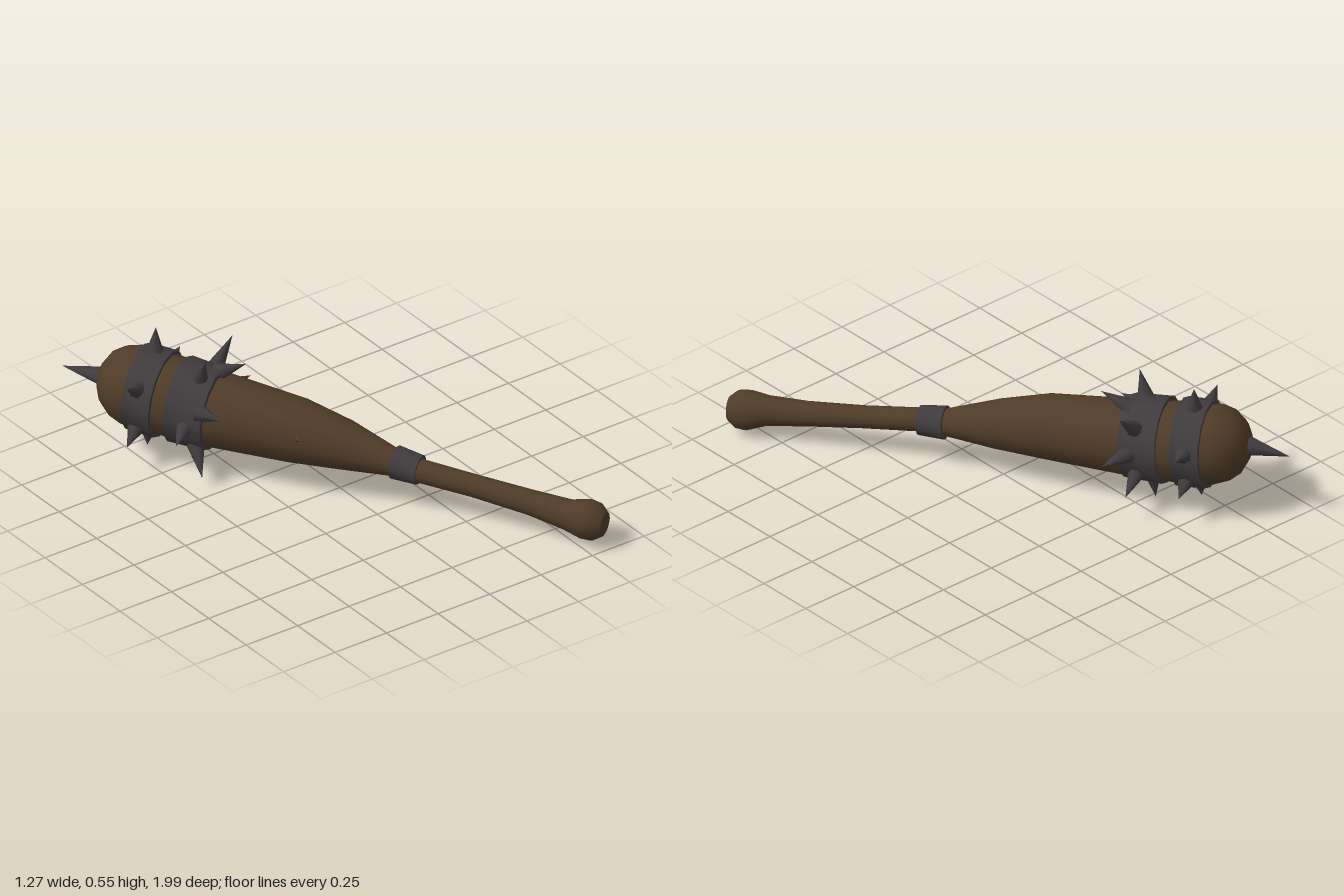
import * as THREE from 'three';
import { toCreasedNormals } from 'three/addons/utils/BufferGeometryUtils.js';

const V = (x, y, z) => new THREE.Vector3(x, y, z);
// Frame of the club: axis runs from knob to head, side and up span its cross-section
const axis = V(-0.51, 0.06, -0.86).normalize();
const side = axis.clone().cross(V(0, 1, 0)).normalize();
const up = side.clone().cross(axis);

// Skin round cross-sections given as [x, y, z, radius], from knob to head
function loft(stations, sides, crease) {
  const pos = [], index = [];
  stations.forEach(([x, y, z, r], i) => {
    for (let j = 0; j < sides; j++) {
      const t = (j / sides) * Math.PI * 2;
      const v = V(x, y, z).addScaledVector(side, r * Math.cos(t)).addScaledVector(up, r * Math.sin(t));
      pos.push(v.x, v.y, v.z);
      if (i === 0) continue;
      const k = (j + 1) % sides, lo = (i - 1) * sides, hi = i * sides;
      index.push(lo + j, hi + j, lo + k, lo + k, hi + j, hi + k);
    }
  });
  const g = new THREE.BufferGeometry();
  g.setAttribute('position', new THREE.Float32BufferAttribute(pos, 3));
  g.setIndex(index);
  return toCreasedNormals(g, crease);
}

export function createModel() {
  const group = new THREE.Group();
  const wood = new THREE.MeshStandardMaterial({ color: 0x503c28 });
  const iron = new THREE.MeshStandardMaterial({ color: 0x403c3e });
  const add = (name, geometry, material) => {
    const mesh = new THREE.Mesh(geometry, material);
    mesh.name = name;
    group.add(mesh);
    return mesh;
  };

  // Wooden club: knob, handle, swelling body and rounded head
  add('woodenClub', loft([
    [0.585, 0.1, 0.965, 0.001], [0.585, 0.1, 0.965, 0.05], [0.567, 0.103, 0.935, 0.077],
    [0.545, 0.106, 0.895, 0.081], [0.5, 0.113, 0.835, 0.062], [0.42, 0.13, 0.7, 0.051],
    [0.29, 0.155, 0.5, 0.046], [0.16, 0.178, 0.31, 0.048], [0.11, 0.188, 0.22, 0.055],
    [0, 0.22, 0.04, 0.1], [-0.11, 0.243, -0.13, 0.131], [-0.29, 0.258, -0.43, 0.153],
    [-0.42, 0.28, -0.65, 0.165], [-0.475, 0.289, -0.735, 0.162], [-0.503, 0.295, -0.78, 0.145],
    [-0.525, 0.299, -0.82, 0.11], [-0.54, 0.302, -0.843, 0.062], [-0.545, 0.303, -0.85, 0.001],
  ], 14, 0.9), wood);

  // Iron bands: from and to are [x, y, z, outer radius], with closed edges
  const band = (name, from, to, inner) => add(name, loft([
    [...from.slice(0, 3), inner], from, to, [...to.slice(0, 3), inner],
  ], 14, 0.6), iron);
  band('handleBand', [0.165, 0.178, 0.31, 0.06], [0.112, 0.188, 0.215, 0.068], 0.04);
  band('lowerHeadBand', [-0.294, 0.262, -0.42, 0.168], [-0.37, 0.272, -0.56, 0.176], 0.14);
  band('upperHeadBand', [-0.402, 0.278, -0.61, 0.179], [-0.46, 0.287, -0.715, 0.177], 0.14);

  // Cone from a base point to a tip
  const spike = (name, base, tip, radius, material = iron) => {
    const dir = tip.clone().sub(base), length = dir.length();
    const cone = new THREE.ConeGeometry(radius, length, 8);
    cone.translate(0, length / 2, 0);
    const mesh = add(name, cone, material);
    mesh.position.copy(base);
    mesh.quaternion.setFromUnitVectors(V(0, 1, 0), dir.normalize());
  };
  // Spikes around a band, each rooted on the surface under its tip
  const spikeRing = (name, center, reach, radius, tips) => tips.forEach((p) => {
    const tip = V(...p);
    const out = tip.clone().sub(center);
    const along = out.dot(axis);
    out.addScaledVector(axis, -along).normalize();
    const base = center.clone().addScaledVector(out, reach).addScaledVector(axis, along * 0.35);
    spike(name, base, tip, radius);
  });
  spikeRing('upperSpike', V(-0.432, 0.283, -0.663), 0.16, 0.039, [
    [-0.4, 0.55, -0.68], [-0.204, 0.34, -0.788], [-0.25, 0.14, -0.76],
    [-0.45, 0.035, -0.668], [-0.62, 0.13, -0.57], [-0.635, 0.415, -0.55],
  ]);
  spikeRing('lowerSpike', V(-0.332, 0.267, -0.49), 0.15, 0.038, [
    [-0.37, 0.52, -0.39], [-0.2, 0.47, -0.353], [-0.11, 0.467, -0.566], [-0.04, 0.27, -0.54],
    [-0.12, 0.12, -0.59], [-0.34, 0.005, -0.52], [-0.44, 0.05, -0.315],
    [-0.56, 0.235, -0.325], [-0.4, 0.33, -0.245],
  ]);
  spike('endSpike', V(-0.54, 0.302, -0.82), V(-0.622, 0.296, -1), 0.043);

  // Small splinter on the side of the body
  spike('splinter', V(-0.17, 0.27, -0.06), V(-0.2, 0.29, 0.01), 0.022, wood);
  return group;
}
